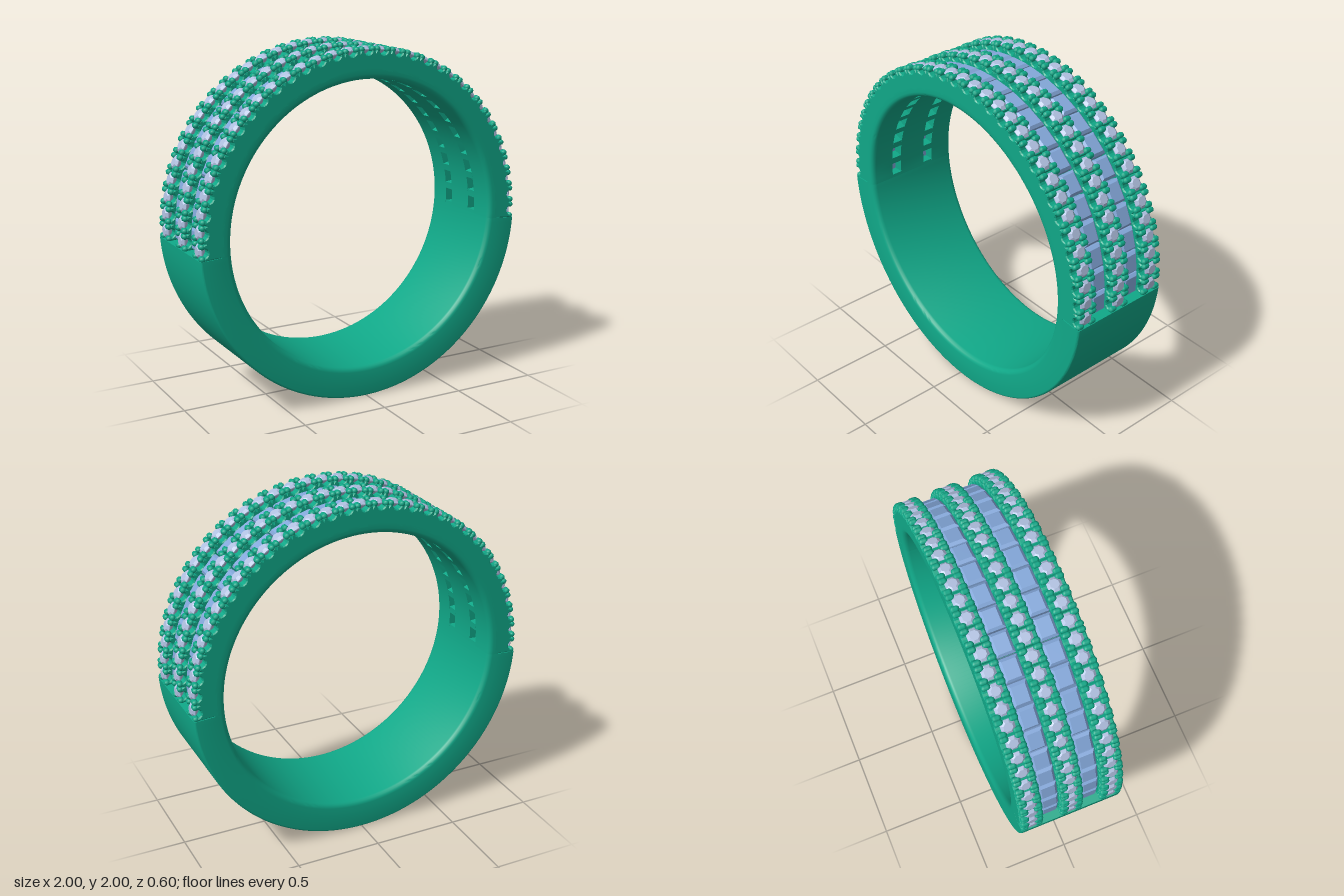
import * as THREE from 'three';
import { mergeGeometries, toCreasedNormals } from 'three/addons/utils/BufferGeometryUtils.js';

const RAD = Math.PI / 180;
const START = -3.7;                 // angle where the jewelled half begins
const SIDE = 0.3, INNER = 0.82, FLOOR = 0.88;
const RAILS = [-0.235, 0, 0.235], RAIL_W = 0.13;
const CHANNELS = [-0.1175, 0.1175];
const ROUND_STEP = 5.7, ROUND_COUNT = 33;
const BAGUETTE_STEP = 8.15, BAGUETTE_COUNT = 23;
const roundAngle = (i) => 90 + (i - (ROUND_COUNT - 1) / 2) * ROUND_STEP;
const baguetteAngle = (i) => 90 + (i - (BAGUETTE_COUNT - 1) / 2) * BAGUETTE_STEP;

const metal = new THREE.MeshStandardMaterial({ color: 0x10a888, side: THREE.DoubleSide });
const paleStone = new THREE.MeshStandardMaterial({ color: 0xb0c0e0, flatShading: true });
const blueStone = new THREE.MeshStandardMaterial({ color: 0x84a8da, flatShading: true });

// Sweep an (r, z) loop around the ring axis; angle 0 of the lathe points down
function sweep(points, fromDeg, lengthDeg, segments) {
  const loop = [...points, points[0]].map(([r, z]) => new THREE.Vector2(r, z));
  const g = new THREE.LatheGeometry(loop, segments, fromDeg * RAD, lengthDeg * RAD);
  g.rotateX(Math.PI / 2);
  return toCreasedNormals(g, 0.6);
}

// Quarter-round corner points
function corner(r, z, radius, fromDeg) {
  return [0, 1, 2, 3, 4].map((i) => {
    const a = (fromDeg + i * 22.5) * RAD;
    return [r + radius * Math.cos(a), z + radius * Math.sin(a)];
  });
}

// Place a copy of a geometry (its y axis pointing outward) on the ring
function place(geometry, deg, r, z) {
  const m = new THREE.Matrix4().makeRotationZ((deg - 90) * RAD);
  m.setPosition(r * Math.cos(deg * RAD), r * Math.sin(deg * RAD), z);
  return geometry.clone().applyMatrix4(m);
}

function add(group, name, geometries, material) {
  const mesh = new THREE.Mesh(mergeGeometries(geometries), material);
  mesh.name = name;
  group.add(mesh);
}

const polar = (r, deg) => new THREE.Vector2(r * Math.cos(deg * RAD), r * Math.sin(deg * RAD));

// Raised rail with a round scallop at each stone
function railGeometry() {
  const pts = [];
  const R = 0.98, notch = 0.027;
  pts.push(polar(R, START));
  for (let i = 0; i < ROUND_COUNT; i++) {
    const deg = roundAngle(i);
    for (let k = 0; k <= 6; k++) {
      const a = (k / 6) * Math.PI;
      const t = -notch * Math.cos(a), d = notch * Math.sin(a);
      pts.push(polar(R - d, deg + t / R / RAD));
    }
    // narrow slit between neighbouring claws
    if (i < ROUND_COUNT - 1) {
      const mid = deg + ROUND_STEP / 2;
      pts.push(polar(R, mid - 0.3), polar(R - 0.015, mid), polar(R, mid + 0.3));
    }
  }
  pts.push(polar(R, 180 - START));
  for (let i = 0; i <= 64; i++) {
    pts.push(polar(FLOOR - 0.02, 180 - START - (i / 64) * (180 - 2 * START)));
  }
  const bevel = 0.006;
  const g = new THREE.ExtrudeGeometry(new THREE.Shape(pts), {
    depth: RAIL_W - 2 * bevel, bevelThickness: bevel, bevelSize: bevel,
    bevelOffset: -bevel, bevelSegments: 1,
  });
  return g.translate(0, 0, -RAIL_W / 2 + bevel);
}

// Short bar across the channel floor, between two windows
function floorBar(deg) {
  const half = 1.4, pts = [];
  for (let i = 0; i <= 4; i++) pts.push(polar(FLOOR, deg - half + (i / 4) * 2 * half));
  for (let i = 4; i >= 0; i--) pts.push(polar(INNER, deg - half + (i / 4) * 2 * half));
  return new THREE.ExtrudeGeometry(new THREE.Shape(pts), { depth: 0.064, bevelEnabled: false });
}

export function createModel() {
  const group = new THREE.Group();
  const ring = new THREE.Group();
  ring.name = 'ring';
  ring.position.y = 1;
  group.add(ring);

  // Plain lower half of the band, closed at both ends
  const fil = 0.03, edge = 0.012;
  const band = [
    ...corner(1 - edge, -SIDE + edge, edge, -90),
    ...corner(1 - edge, SIDE - edge, edge, 0),
    ...corner(INNER + fil, SIDE - fil, fil, 90),
    ...corner(INNER + fil, -SIDE + fil, fil, 180),
  ];
  add(ring, 'lowerBand', [sweep(band, -90 - START, 180 + 2 * START, 96)], metal);
  const capShape = new THREE.Shape(band.map(([r, z]) => new THREE.Vector2(r, z)));
  add(ring, 'bandEnds', [START, 180 - START].map((deg) =>
    new THREE.ShapeGeometry(capShape).rotateX(Math.PI / 2).rotateZ(deg * RAD)), metal);

  // Inner shell of the jewelled half: three strips with window slots between them
  const outerStrip = [
    [FLOOR, 0.15], [FLOOR, SIDE],
    ...corner(INNER + fil, SIDE - fil, fil, 90), [INNER, 0.15],
  ];
  const mirrored = outerStrip.map(([r, z]) => [r, -z]).reverse();
  const middleStrip = [[FLOOR, -0.086], [FLOOR, 0.086], [INNER, 0.086], [INNER, -0.086]];
  add(ring, 'innerShell', [outerStrip, mirrored, middleStrip].map((p) =>
    sweep(p, 90 + START, 180 - 2 * START, 96)), metal);

  const bars = [];
  for (const z of CHANNELS) {
    for (let i = 0; i <= BAGUETTE_COUNT; i++) {
      bars.push(floorBar(baguetteAngle(i) - BAGUETTE_STEP / 2).translate(0, 0, z - 0.032));
    }
  }
  add(ring, 'windowBars', bars, metal);

  // Scalloped rails
  const rail = railGeometry();
  add(ring, 'rails', RAILS.map((z) => rail.clone().translate(0, 0, z)), metal);

  // Round stones, each held by four claws
  const round = new THREE.LatheGeometry(
    [[0, -0.04], [0.042, 0], [0.042, 0.005], [0.026, 0.018], [0, 0.018]]
      .map(([x, y]) => new THREE.Vector2(x, y)), 8, Math.PI / 8);
  const claw = new THREE.CapsuleGeometry(0.017, 0.016, 3, 8).rotateX(Math.PI / 2);
  const rounds = [], claws = [];
  for (const z of RAILS) {
    for (let i = 0; i < ROUND_COUNT; i++) {
      const deg = roundAngle(i);
      rounds.push(place(round, deg, 0.977, z));
      for (const s of [-1, 1]) {
        for (const t of [-1, 1]) {
          claws.push(place(claw, deg + s * 1.97, 0.983, z + t * 0.041));
        }
      }
    }
  }
  add(ring, 'roundStones', rounds, paleStone);
  add(ring, 'claws', claws, metal);

  // Rectangular stones with bevelled edges set in the two channels
  const w = 0.126 / 2, d = 0.104 / 2, b = 0.014;
  const outline = new THREE.Shape([[-w, -d], [w, -d], [w, d], [-w, d]]
    .map(([x, y]) => new THREE.Vector2(x, y)));
  const baguette = new THREE.ExtrudeGeometry(outline, {
    depth: 0.045, bevelThickness: b, bevelSize: b, bevelOffset: -b, bevelSegments: 1,
  }).rotateX(-Math.PI / 2);
  const baguettes = [];
  for (const z of CHANNELS) {
    for (let i = 0; i < BAGUETTE_COUNT; i++) {
      baguettes.push(place(baguette, baguetteAngle(i), 0.897, z));
    }
  }
  add(ring, 'rectangularStones', baguettes, blueStone);

  return group;
}
